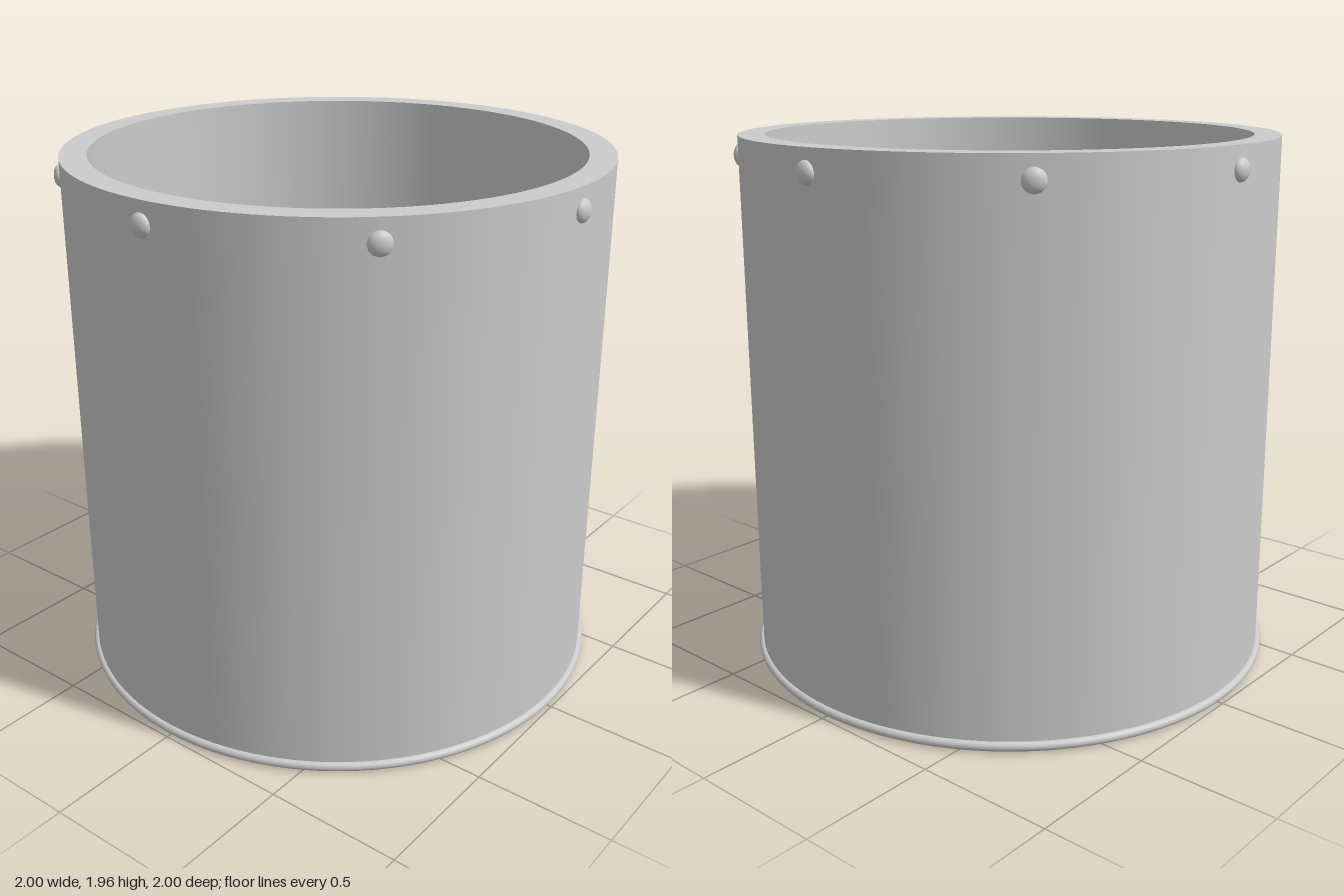
import * as THREE from 'three';
import { mergeGeometries } from 'three/addons/utils/BufferGeometryUtils.js';

const SEGMENTS = 128;
const OUTER = 0.976, INNER = 0.88, HEIGHT = 1.96;

// Revolves a closed outline edge by edge, so every corner stays sharp.
function sharpLathe(outline) {
  const points = outline.map(([r, y]) => new THREE.Vector2(r, y));
  return mergeGeometries(points.map((p, i) =>
    new THREE.LatheGeometry([p, points[(i + 1) % points.length]], SEGMENTS)));
}

export function createModel() {
  const group = new THREE.Group();
  const material = new THREE.MeshStandardMaterial({ color: 0xcccccc });
  const add = (name, geometry) => {
    const mesh = new THREE.Mesh(geometry, material);
    mesh.name = name;
    group.add(mesh);
    return mesh;
  };

  // Thick open tube: outer wall, top rim, inner wall, bottom rim
  add('tubeWall', sharpLathe([[OUTER, 0], [OUTER, HEIGHT], [INNER, HEIGHT], [INNER, 0]]));

  // Rounded bead around the foot
  const bead = new THREE.TorusGeometry(OUTER, 0.017, 16, SEGMENTS);
  add('baseBead', bead.rotateX(Math.PI / 2).translate(0, 0.02, 0));

  // Eight flattened rivets just below the top rim
  const rivet = new THREE.SphereGeometry(0.04, 24, 16).scale(1, 1, 0.6);
  for (let i = 0; i < 8; i++) {
    const angle = (i * Math.PI) / 4;
    const mesh = add(`rivet${i + 1}`, rivet);
    mesh.position.set(Math.sin(angle) * OUTER, 1.88, Math.cos(angle) * OUTER);
    mesh.rotation.y = angle;
  }

  return group;
}
